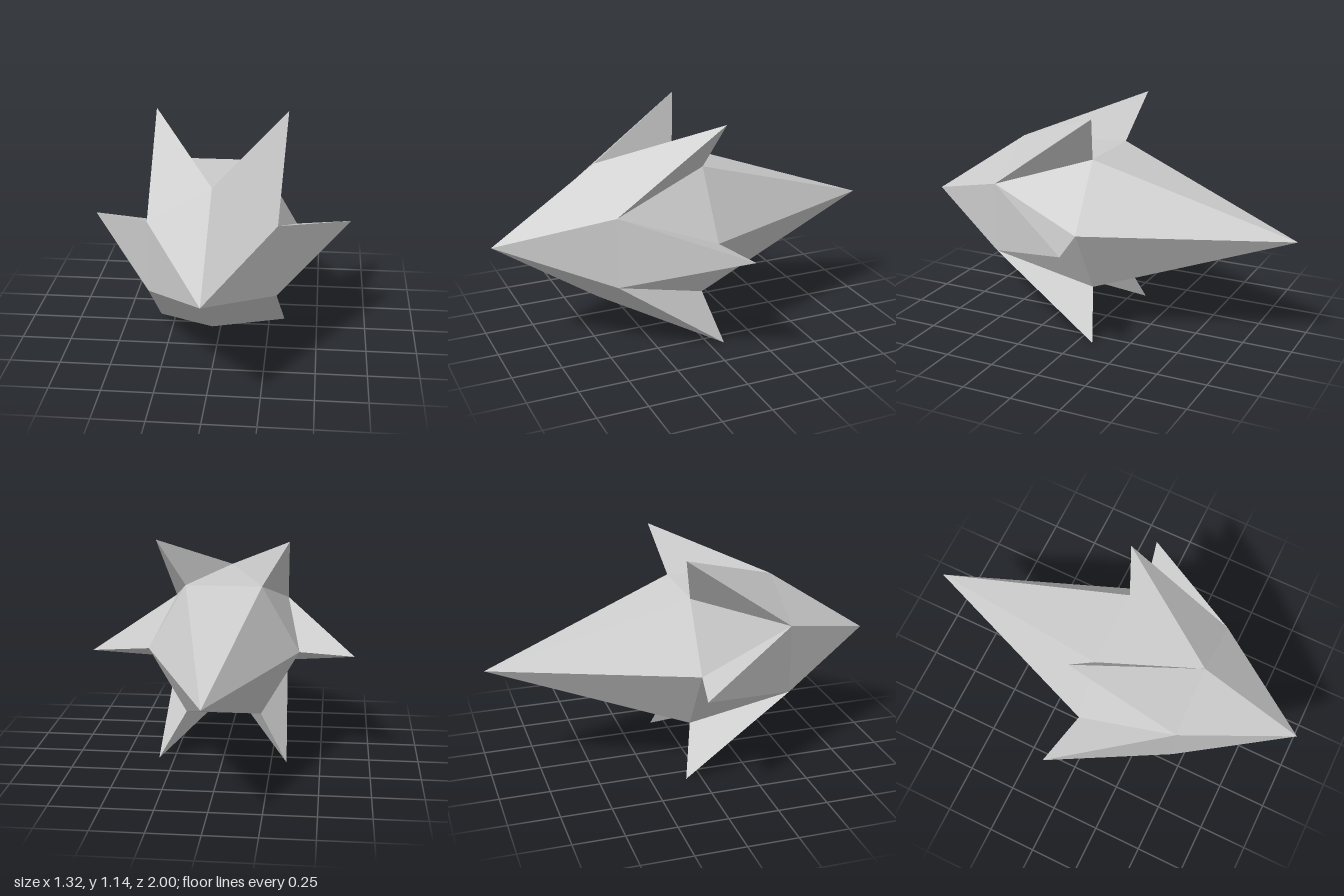
import * as THREE from 'three';

const SIDES = 6;
const CENTRE_Y = 0.574;

// Point on a ring around the z axis; step counts in sixths of a turn
function ringPoint(radius, step, z) {
  const a = (step * Math.PI * 2) / SIDES;
  return new THREE.Vector3(Math.cos(a) * radius, Math.sin(a) * radius, z);
}

// Faceted mesh from a list of corner points, three per triangle
function facetMesh(name, points, material) {
  const geometry = new THREE.BufferGeometry().setFromPoints(points);
  geometry.computeVertexNormals();
  const mesh = new THREE.Mesh(geometry, material);
  mesh.name = name;
  return mesh;
}

export function createModel() {
  const group = new THREE.Group();
  group.name = 'starCrystal';
  const grey = new THREE.MeshStandardMaterial({ color: 0xcccccc, flatShading: true });
  grey.name = 'grey';

  const nose = new THREE.Vector3(0, 0, 1);
  const tail = new THREE.Vector3(0, 0, -1);
  const valley = (i) => ringPoint(0.353, i - 0.5, 0.472);
  const tip = (i) => ringPoint(0.659, i, -0.077);
  const waist = (i) => ringPoint(0.384, i, -0.015);

  const noseFaces = [], bodyFaces = [], tailFaces = [];
  for (let i = 0; i < SIDES; i++) {
    const a = valley(i), b = valley(i + 1), t = tip(i), w = waist(i), next = waist(i + 1);
    noseFaces.push(nose, a, b);
    bodyFaces.push(b, w, next);
    tailFaces.push(w, tail, next);
    // Swept-back spike: one front face and two rear faces
    group.add(facetMesh('spike' + (i + 1), [a, t, b, a, w, t, b, t, w], grey));
  }
  group.add(
    facetMesh('noseCone', noseFaces, grey),
    facetMesh('body', bodyFaces, grey),
    facetMesh('tailCone', tailFaces, grey),
  );
  group.position.y = CENTRE_Y;

  const model = new THREE.Group();
  model.add(group);
  return model;
}
